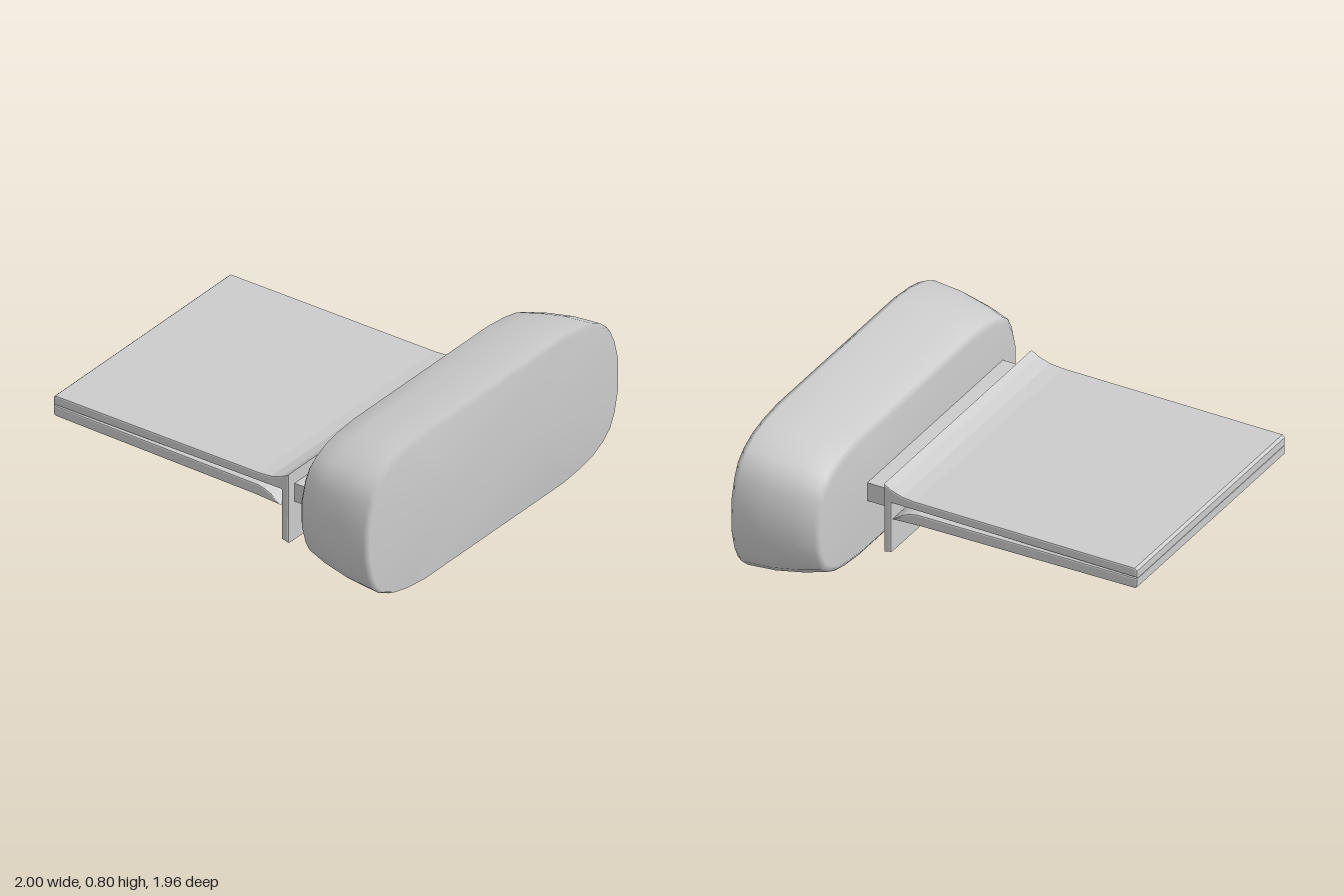
import * as THREE from 'three';

const grey = new THREE.MeshStandardMaterial({ color: 0xcccccc });

function addPart(group, name, geometry) {
  const mesh = new THREE.Mesh(geometry, grey);
  mesh.name = name;
  group.add(mesh);
}

// Unit outline of the pad: one quarter, mirrored to all four corners
function padOutline() {
  const quarter = [[1, 0.2], [0.97, 0.5], [0.935, 0.68], [0.88, 0.8], [0.8, 0.9], [0.7, 0.96], [0.56, 1]];
  const back = [...quarter].reverse();
  return [
    ...quarter,
    ...back.map(([x, y]) => [-x, y]),
    ...quarter.map(([x, y]) => [-x, -y]),
    ...back.map(([x, y]) => [x, -y]),
  ];
}

// Smooth loft through scaled outlines, front to back; each end closes on a line
function padGeometry() {
  const outline = padOutline();
  const n = outline.length;
  const sections = [ // z, half width, half height
    [0.98, 0.5, 0], [0.98, 0.985, 0.388], [0.95, 1, 0.4], [0.8, 0.995, 0.385],
    [0.66, 0.975, 0.357], [0.55, 0.945, 0.33], [0.53, 0.92, 0.3], [0.53, 0.5, 0],
  ];
  const positions = [];
  const index = [];
  sections.forEach(([z, w, h], i) => {
    outline.forEach(([x, y], j) => {
      positions.push(x * w, 0.4 + y * h, z);
      if (i === sections.length - 1) return;
      const a = i * n + j, b = i * n + (j + 1) % n;
      index.push(a, a + n, b, b, a + n, b + n);
    });
  });
  const geometry = new THREE.BufferGeometry();
  geometry.setAttribute('position', new THREE.Float32BufferAttribute(positions, 3));
  geometry.setIndex(index);
  geometry.computeVertexNormals();
  return geometry;
}

// Side profile of [z, y] points, extruded across the width with slim bevels
function plateGeometry(profile, left, right) {
  const bevel = 0.008;
  const shape = new THREE.Shape(profile.map(([z, y]) => new THREE.Vector2(z, y)));
  const geometry = new THREE.ExtrudeGeometry(shape, {
    depth: left - right - 2 * bevel,
    bevelThickness: bevel, bevelSize: bevel, bevelOffset: -bevel, bevelSegments: 2,
  });
  geometry.rotateY(-Math.PI / 2);
  geometry.translate(left - bevel, 0, 0);
  return geometry;
}

export function createModel() {
  const group = new THREE.Group();

  addPart(group, 'frontPad', padGeometry());

  // Connecting bar, set slightly into the pad and the flange
  const neck = new THREE.BoxGeometry(1.28, 0.1, 0.17);
  neck.translate(-0.16, 0.4, 0.465);
  addPart(group, 'neck', neck);

  // Upper plate with flared front lip and hanging flange
  addPart(group, 'upperPlateAndFlange', plateGeometry([
    [0.4, 0.52], [0.4, 0.143], [0.36, 0.153], [0.36, 0.425], [-0.98, 0.42],
    [-0.98, 0.46], [-0.967, 0.472], [0.23, 0.472], [0.3, 0.478], [0.36, 0.498],
  ], 0.55, -0.85));

  // Lower plate, tapering to a curved front tip
  addPart(group, 'lowerPlate', plateGeometry([
    [0.355, 0.337], [0.3, 0.378], [0.26, 0.396], [0.22, 0.404], [-0.98, 0.417],
    [-0.98, 0.372], [-0.967, 0.36], [0.2, 0.344],
  ], 0.55, -0.85));

  return group;
}
